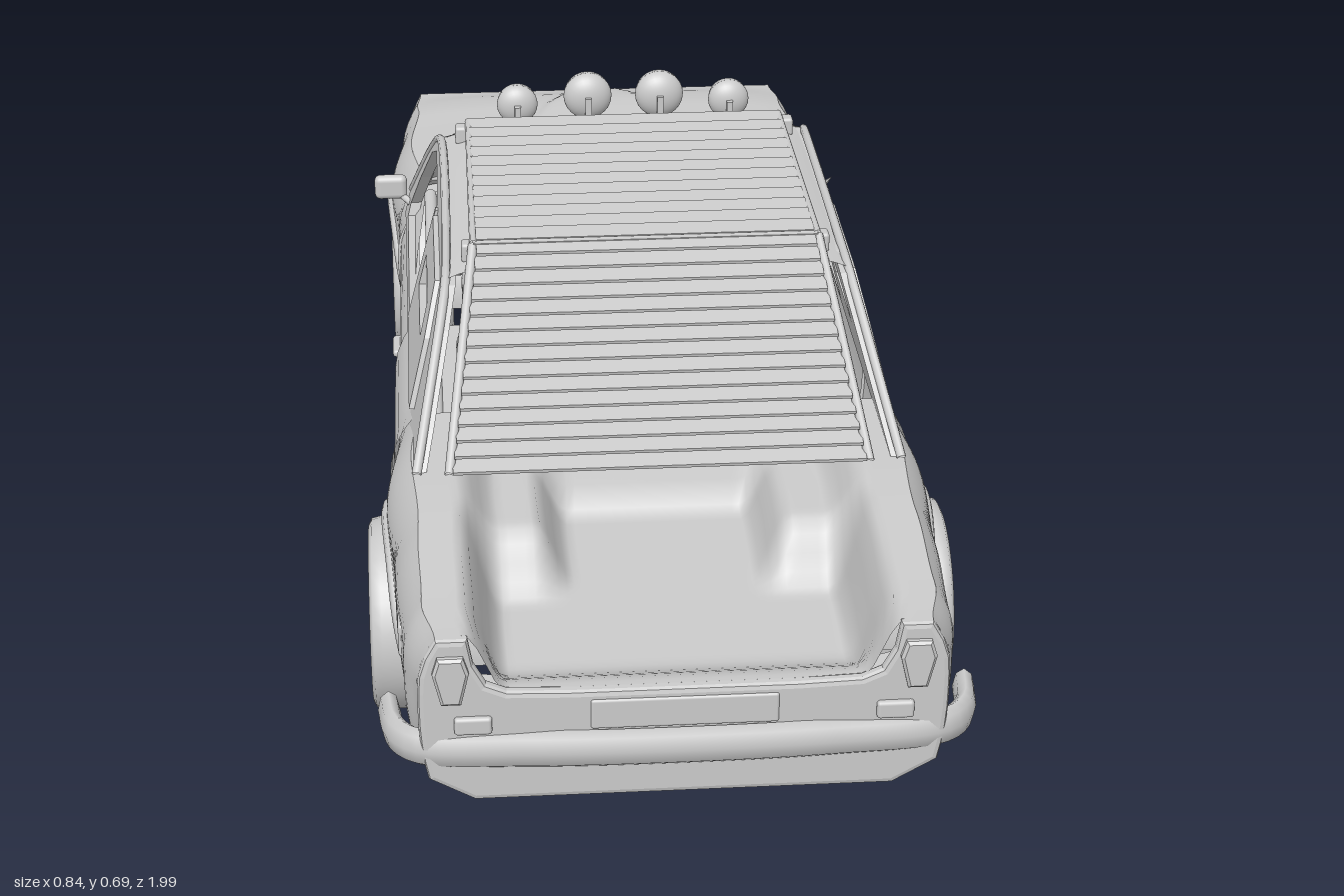
import * as THREE from 'three';
import { ParametricGeometry } from 'three/addons/geometries/ParametricGeometry.js';
import { RoundedBoxGeometry } from 'three/addons/geometries/RoundedBoxGeometry.js';

const { clamp, smoothstep } = THREE.MathUtils;
const mat = new THREE.MeshStandardMaterial({ color: 0xcccccc, side: THREE.DoubleSide });
const REAR = 0.515, FRONT = -0.655, AXLE = 0.142, ARCH = 0.155;
const V = (x, y, z) => new THREE.Vector3(x, y, z);

// Smooth interpolation through [z, value] pairs
const track = (pairs) => (z) => {
  let i = 1;
  while (i < pairs.length - 1 && z > pairs[i][0]) i++;
  const [a, p] = pairs[i - 1], [b, q] = pairs[i];
  return p + (q - p) * smoothstep(z, a, b);
};
const halfWidth = track([[-0.97, 0.348], [-0.85, 0.364], [-0.65, 0.384], [-0.45, 0.369], [0.3, 0.374], [0.5, 0.392], [0.7, 0.38], [0.88, 0.37], [0.97, 0.352]]);
const beltY = track([[-0.97, 0.368], [-0.8, 0.387], [-0.44, 0.4], [-0.1, 0.378], [0.25, 0.392], [0.56, 0.392], [0.97, 0.375]]);
const sillY = (z) => {
  let y = z > 0.6 ? 0.16 : 0.1;
  for (const c of [REAR, FRONT]) {
    const d = Math.abs(z - c);
    if (d < ARCH) y = Math.max(y, AXLE + Math.sqrt(ARCH * ARCH - d * d));
  }
  return y;
};
const sideX = (y, z) => halfWidth(z) - 0.03 * clamp((0.26 - y) / 0.16, 0, 1) ** 2 - 0.045 * clamp((y - 0.3) / 0.1, 0, 1) ** 2;
const cabinX = (y) => 0.352 - (y - 0.385) * 0.26;

export function createModel() {
  const car = new THREE.Group();
  car.name = 'car';
  const add = (name, geo, x = 0, y = 0, z = 0, rx = 0, ry = 0, rz = 0) => {
    const m = new THREE.Mesh(geo, mat);
    m.name = name;
    m.position.set(x, y, z);
    m.rotation.set(rx, ry, rz);
    car.add(m);
    return m;
  };
  const box = (name, w, h, d, ...at) => add(name, new THREE.BoxGeometry(w, h, d), ...at);
  const rbox = (name, w, h, d, r, ...at) => add(name, new RoundedBoxGeometry(w, h, d, 3, r), ...at);
  const tube = (name, pts, r, segs = 20) => add(name, new THREE.TubeGeometry(new THREE.CatmullRomCurve3(pts, false, 'centripetal'), segs, r, 8));
  const surface = (name, fn, nu, nv) => {
    const g = new ParametricGeometry((u, v, t) => t.set(...fn(u, v)), nu, nv);
    g.computeVertexNormals();
    return add(name, g);
  };
  const outline = (pts) => new THREE.Shape(pts.map((p) => new THREE.Vector2(...p)));

  // Body sides with wheel arches, cabin sides, wheels and lamps
  for (const s of [1, -1]) {
    const side = s > 0 ? 'left' : 'right';
    surface(side + 'BodySide', (u, v) => {
      const z = -0.956 + 1.921 * u, b = sillY(z), y = b + (beltY(z) - b) * v;
      return [s * sideX(y, z), y, z];
    }, 150, 16);
    surface(side + 'RearDoorPanel', (u, v) => {
      const z = 0.045 + 0.335 * u, b = Math.max(sillY(z) + 0.02, 0.13), y = b + (beltY(z) - b) * v;
      return [s * (sideX(y, z) + 0.006), y, z];
    }, 14, 10);

    // Cabin side: cut out as a flat outline, then leaned inwards
    const panel = (name, pts, holes, depth, out) => {
      const shape = outline(pts);
      shape.holes = holes.map((h) => new THREE.Path(h.map((p) => new THREE.Vector2(...p))));
      const g = new THREE.ExtrudeGeometry(shape, { depth, bevelEnabled: false }).rotateY(-Math.PI / 2);
      const p = g.attributes.position;
      for (let i = 0; i < p.count; i++) p.setX(i, p.getX(i) + cabinX(p.getY(i)) + out);
      g.computeVertexNormals();
      add(side + name, g).scale.x = s;
    };
    const slot = [[0.1, 0.475], [0.28, 0.475], [0.26, 0.525], [0.1, 0.525]];
    panel('CabinSide', [[0.57, 0.37], [0.51, 0.44], [0.4, 0.54], [0.34, 0.585], [0.28, 0.595], [-0.2, 0.595], [-0.27, 0.555], [-0.36, 0.48], [-0.45, 0.39], [-0.44, 0.36]],
      [[[0.005, 0.378], [0.005, 0.568], [-0.19, 0.575], [-0.25, 0.548], [-0.33, 0.47], [-0.385, 0.4], [-0.38, 0.378]], slot], 0.018, 0);
    panel('WindowPlate', [[0.055, 0.4], [0.37, 0.4], [0.34, 0.5], [0.29, 0.57], [0.055, 0.57]], [slot], 0.01, 0.008);
    box(side + 'WindowBar', 0.006, 0.014, 0.19, s * cabinX(0.5), 0.5, 0.19);
    tube(side + 'DripRail', [[0.56, 0.395], [0.5, 0.45], [0.34, 0.582], [0.27, 0.594], [-0.19, 0.594], [-0.28, 0.547], [-0.445, 0.4]].map(([z, y]) => V(s * (cabinX(y) - 0.003), y, z)), 0.007, 50);

    // Door seams, handles and sill
    for (const z of [0.035, -0.4])
      tube(side + 'DoorSeam', [0.11, 0.18, 0.25, 0.32, 0.375].map((y) => V(s * sideX(y, z), y, z)), 0.004);
    box(side + 'DoorPillarTrim', 0.008, 0.2, 0.012, s * cabinX(0.475), 0.475, 0.035, 0, 0, s * 0.25);
    rbox(side + 'DoorHandle', 0.016, 0.012, 0.06, 0.005, s * 0.374, 0.31, -0.02);
    rbox(side + 'Sill', 0.05, 0.024, 0.72, 0.01, s * 0.33, 0.11, -0.09);

    // Wheel housings, flares and wheels
    for (const [z, name, cx, w] of [[REAR, 'Rear', 0.35, 0.14], [FRONT, 'Front', 0.333, 0.106]]) {
      add(side + name + 'WheelHousing', new THREE.CylinderGeometry(ARCH, ARCH, 0.15, 28, 1, true, 0, Math.PI), s * 0.295, AXLE, z, 0, 0, Math.PI / 2);
      add(side + name + 'HousingWall', new THREE.CircleGeometry(ARCH, 28, 0, Math.PI), s * 0.22, AXLE, z, 0, Math.PI / 2);
      const flare = [];
      for (let i = 0; i <= 16; i++) {
        const a = Math.PI * (0.05 + 0.9 * i / 16), y = AXLE + Math.sin(a) * 0.157, fz = z + Math.cos(a) * 0.157;
        flare.push(V(s * (sideX(Math.max(y, 0.17), fz) - 0.004), y, fz));
      }
      tube(side + name + 'Flare', flare, 0.012, 40);
      wheel(side + name + 'Wheel', s, s * cx, z, w, name === 'Rear');
    }

    // Lamps at both ends
    const lamp = outline([[-0.01, -0.033], [0.01, -0.033], [0.02, 0.01], [0.014, 0.03], [-0.014, 0.03], [-0.02, 0.01]]);
    add(side + 'TailLamp', new THREE.ExtrudeGeometry(lamp, { depth: 0.008, bevelSize: 0.004, bevelThickness: 0.004, bevelSegments: 1 }), s * 0.308, 0.318, 0.974);
    rbox(side + 'ReverseLamp', 0.05, 0.026, 0.014, 0.005, s * 0.28, 0.246, 0.977);
    add(side + 'HeadlampRing', new THREE.TorusGeometry(0.052, 0.009, 8, 32), s * 0.285, 0.28, -0.968);
    add(side + 'Headlamp', new THREE.SphereGeometry(0.05, 24, 10, 0, Math.PI * 2, 0, Math.PI / 2).scale(1, 0.25, 1), s * 0.285, 0.28, -0.962, -Math.PI / 2);
    rbox(side + 'Overrider', 0.024, 0.075, 0.04, 0.01, s * 0.135, 0.137, -0.973);
    rbox(side + 'FrontIndicator', 0.07, 0.022, 0.02, 0.006, s * 0.25, 0.185, -0.962);
  }

  function wheel(name, s, x, z, w, spoked) {
    const g = new THREE.Group(), h = w / 2, count = spoked ? 8 : 14;
    g.name = name;
    const part = (n, geo) => { const m = new THREE.Mesh(geo, mat); m.name = n; g.add(m); return m; };
    const lathe = (pts, n = 40) => new THREE.LatheGeometry(pts.map((p) => new THREE.Vector2(...p)), n).rotateZ(-Math.PI / 2);
    part('tyre', lathe([[0.092, -h * 0.9], [0.105, -h], [0.128, -h], [0.138, -h * 0.93], [0.141, -h * 0.75], [0.141, h * 0.75], [0.138, h * 0.93], [0.128, h], [0.105, h], [0.092, h * 0.9]]));
    part('rim', lathe([[0.093, h * 0.88], [0.088, h * 0.97], [0.082, h * 0.85], [0.077, h * 0.3], [0.04, h * 0.35], [0, h * 0.35]]));
    part('rimBack', lathe([[0.093, -h * 0.9], [0.08, -h * 0.6], [0.077, h * 0.3]]));
    part('hub', lathe([[0.034, h * 0.3], [0.03, h * 0.62], [0.02, h * 0.72], [0.012, h * 0.85], [0, h * 0.88]], 20));
    for (let i = 0; i < count; i++) {
      const spoke = part('spoke', new THREE.BoxGeometry(h * 0.35, spoked ? 0.06 : 0.035, spoked ? 0.016 : 0.007).translate(h * 0.42, spoked ? 0.052 : 0.042, 0));
      spoke.rotation.x = i * Math.PI * 2 / count;
    }
    g.position.set(x, AXLE, z);
    g.scale.x = s;
    car.add(g);
  }

  // End fascias follow the section of the body sides and tuck under
  const fascia = (name, z, lower, y0, top, z0, hole) => {
    const half = [lower];
    for (let i = 0; i <= 8; i++) { const y = y0 + (beltY(z) - y0) * i / 8; half.push([sideX(y, z), y]); }
    half.push(...top);
    const shape = outline([...half, ...half.map(([x, y]) => [-x, y]).reverse()]);
    if (hole) shape.holes.push(new THREE.Path(hole.map((p) => new THREE.Vector2(...p))));
    add(name, new THREE.ExtrudeGeometry(shape, { depth: 0.008, bevelSize: 0.008, bevelOffset: -0.008, bevelThickness: 0.006, bevelSegments: 2 }), 0, 0, z0);
  };
  fascia('tailPanel', 0.965, [0.28, 0.125], 0.16, [[0.285, 0.375], [0.278, 0.335], [0.262, 0.305], [0.235, 0.293], [0.15, 0.29]], 0.962);
  fascia('nosePanel', -0.956, [0.29, 0.082], 0.11, [], -0.961, [[-0.235, 0.215], [0.235, 0.215], [0.225, 0.335], [-0.225, 0.335]]);
  rbox('plateRecess', 0.25, 0.045, 0.01, 0.004, 0, 0.255, 0.974);
  box('grilleBack', 0.48, 0.13, 0.006, 0, 0.275, -0.935);
  for (let i = 0; i < 16; i++)
    rbox('grilleSlat', 0.014, 0.122, 0.022, 0.005, -0.21 + i * 0.028, 0.276, -0.962, Math.sin(i * 2.3) * 0.06, 0, Math.sin(i * 1.7) * 0.09);

  // Bumpers wrap around the corners
  const bumper = (name, y, r, tall, dir, pts) => {
    const path = [...pts.map(([x, z]) => V(-x, 0, z * dir)), ...pts.slice(0, -1).reverse().map(([x, z]) => V(x, 0, z * dir))];
    const m = tube(name, path, r, 60);
    m.scale.y = tall;
    m.position.y = y;
  };
  bumper('rearBumper', 0.203, 0.015, 1.9, 1, [[0.392, 0.865], [0.382, 0.925], [0.35, 0.958], [0.2, 0.974], [0, 0.979]]);
  bumper('frontBumper', 0.137, 0.013, 1.5, -1, [[0.375, 0.86], [0.37, 0.925], [0.34, 0.957], [0.2, 0.97], [0, 0.973]]);

  // Bonnet with raised centre
  surface('bonnet', (u, v) => {
    const k = u * 2 - 1, z = -0.962 + 0.539 * v, y = beltY(z), x = k * sideX(y, z);
    const reach = 0.125 * Math.sqrt(clamp((z + 0.91) / 0.17, 0, 1));
    const bulge = reach > 0 ? 0.01 * (1 - smoothstep(Math.abs(x), reach * 0.85, reach + 0.012)) * (1 - smoothstep(z, -0.8, -0.6)) : 0;
    return [x, y + 0.012 * (1 - k ** 4) * smoothstep(z, -0.97, -0.88) + bulge, z];
  }, 60, 36);

  // Roof and windscreen
  surface('roof', (u, v) => {
    const k = u * 2 - 1, z0 = -0.2 - 0.03 * (1 - k * k), z1 = 0.3 + 0.03 * k * k;
    return [k * 0.297, 0.59 + 0.031 * (1 - Math.abs(k) ** 5) * (1 - 0.35 * (2 * v - 1) ** 4), z0 + (z1 - z0) * v];
  }, 30, 14);
  surface('windscreen', (u, v) => {
    const k = u * 2 - 1, y = 0.597 - 0.197 * v;
    return [k * (cabinX(y) - 0.006), y + 0.014 * (1 - k ** 4), -0.195 - 0.25 * v - 0.032 * (1 - k * k) - 0.015 * Math.sin(v * Math.PI)];
  }, 20, 10);
  const frame = [[-0.9, 0.1], [0.9, 0.1], [0.93, 0.9], [-0.93, 0.9]].map(([k, v]) => {
    const y = 0.602 - 0.197 * v;
    return V(k * cabinX(y), y, -0.2 - 0.25 * v - 0.032 * (1 - k * k));
  });
  for (const [a, b, bow] of [[0, 1, 0.03], [2, 3, 0.03], [1, 2, 0.014], [3, 0, 0.014]])
    tube('windscreenTrim', [frame[a], frame[a].clone().lerp(frame[b], 0.5).add(V(0, 0.008, -bow)), frame[b]], 0.006);

  // Open load bed with wheel humps and a front wall
  surface('loadBed', (u, v) => {
    const z = 0.37 + 0.597 * v, k = u * 2 - 1, T = beltY(z), x = k * sideX(T, z), a = Math.abs(x);
    const hump = 0.085 * smoothstep(a, 0.13, 0.18) * (1 - smoothstep(z, 0.6, 0.68));
    const floor = 0.245 + hump + 0.045 * smoothstep(z, 0.84, 0.96);
    const wall = Math.max(smoothstep(a, 0.235, 0.288), 1 - smoothstep(z, 0.37, 0.44));
    return [x, floor + (T - floor) * wall, z];
  }, 60, 40);

  // Rear window louvres and slatted roof rack
  for (let i = 0; i < 15; i++) {
    const t = i / 14;
    box('louvre', 0.5 + 0.09 * t, 0.005, 0.032, 0, 0.625 - 0.222 * t, 0.302 + 0.255 * t, 0.2);
  }
  for (let i = 0; i < 12; i++) box('roofSlat', 0.5, 0.005, 0.036, 0, 0.63, 0.265 - i * 0.039, 0.08);
  for (const s of [1, -1]) {
    tube('louvreRail', [V(s * 0.255, 0.626, 0.29), V(s * 0.276, 0.52, 0.42), V(s * 0.3, 0.395, 0.565)], 0.007);
    tube('rackRail', [V(s * 0.25, 0.627, -0.185), V(s * 0.254, 0.627, 0.29)], 0.006);
    for (const z of [-0.17, 0.28]) rbox('rackFoot', 0.02, 0.03, 0.025, 0.005, s * 0.262, 0.612, z);
    tube('boxBrace', [V(s * 0.155, 0.43, 0.38), V(s * 0.1, 0.39, 0.38)], 0.005);
  }
  box('rackRearBar', 0.51, 0.01, 0.012, 0, 0.625, 0.29);
  box('parcelBar', 0.58, 0.008, 0.02, 0, 0.43, 0.38);
  box('rearCabinBox', 0.13, 0.04, 0.04, 0, 0.408, 0.38);

  // Roof lamps, rounded towards the back
  for (const [x, y, r] of [[-0.17, 0.64, 0.033], [-0.056, 0.652, 0.039], [0.06, 0.652, 0.039], [0.173, 0.64, 0.033]]) {
    add('roofLampBowl', new THREE.SphereGeometry(r, 24, 10, 0, Math.PI * 2, 0, Math.PI / 2).scale(1, 0.65, 1), x, y, -0.222, Math.PI / 2);
    add('roofLampLens', new THREE.CylinderGeometry(r, r * 0.95, 0.012, 24), x, y, -0.227, Math.PI / 2);
    box('roofLampBracket', 0.01, 0.04, 0.012, x, y - 0.015, -0.197);
  }

  // Mirror on one side, broken stub on the other, filler flap
  rbox('mirror', 0.055, 0.042, 0.022, 0.01, -0.382, 0.411, -0.43);
  tube('mirrorArm', [V(-0.34, 0.38, -0.41), V(-0.362, 0.395, -0.425)], 0.006);
  add('mirrorStub', new THREE.ConeGeometry(0.012, 0.045, 6), 0.36, 0.395, -0.42, 0, 0, -0.8);
  rbox('fillerFlap', 0.014, 0.05, 0.04, 0.005, -0.37, 0.28, 0.8);

  // Interior
  for (const s of [1, -1]) {
    rbox('seatCushion', 0.22, 0.1, 0.22, 0.03, s * 0.17, 0.2, -0.12);
    rbox('seatBack', 0.2, 0.26, 0.06, 0.025, s * 0.17, 0.335, 0, 0.12);
  }
  rbox('dashboard', 0.64, 0.12, 0.12, 0.03, 0, 0.34, -0.38);
  rbox('innerDoorPlate', 0.02, 0.1, 0.33, 0.009, -0.315, 0.385, -0.2);
  add('steeringWheel', new THREE.TorusGeometry(0.06, 0.007, 8, 24), -0.17, 0.36, -0.27, -0.4);

  // Underside: rounded trays at the ends, flat floor between
  const belly = (name, z0, z1, low, rise) => surface(name, (u, v) => {
    const k = u * 2 - 1, z = z0 + (z1 - z0) * v;
    return [k * sideX(low + rise, z), low + rise * Math.abs(k) ** 7, z];
  }, 32, 8);
  belly('rearBelly', 0.672, 0.965, 0.125, 0.038);
  belly('noseBelly', -0.956, -0.815, 0.083, 0.022);
  box('floorPan', 0.66, 0.012, 0.8, 0, 0.108, -0.09);
  box('engineTray', 0.44, 0.012, 0.34, 0, 0.12, -0.65);
  box('rearUnderfloor', 0.44, 0.012, 0.36, 0, 0.2, 0.49);
  for (const z of [REAR, FRONT]) add('axle', new THREE.CylinderGeometry(0.017, 0.017, 0.6, 14), 0, AXLE, z, 0, 0, Math.PI / 2);
  add('differential', new THREE.SphereGeometry(0.045, 18, 12), 0, 0.15, REAR);
  tube('driveshaft', [V(0, 0.105, -0.42), V(0, 0.105, 0.2), V(0, 0.14, REAR)], 0.012);
  add('silencer', new THREE.CapsuleGeometry(0.03, 0.11, 6, 16), 0.08, 0.11, -0.6, 0, 0, Math.PI / 2);
  box('towPlate', 0.18, 0.02, 0.05, 0, 0.116, 0.88);

  // Twin side exhaust
  for (const d of [0, 0.032]) {
    tube('exhaustPipe', [V(0.1, 0.1, -0.58), V(0.11, 0.1, 0.1), V(0.25, 0.098, 0.25 + d), V(0.39, 0.1, 0.275 + d)], 0.012, 32);
    add('exhaustTip', new THREE.CylinderGeometry(0.015, 0.015, 0.075, 14, 1, true), 0.393, 0.11, 0.275 + d, 0, 0, -0.25);
  }
  return car;
}
